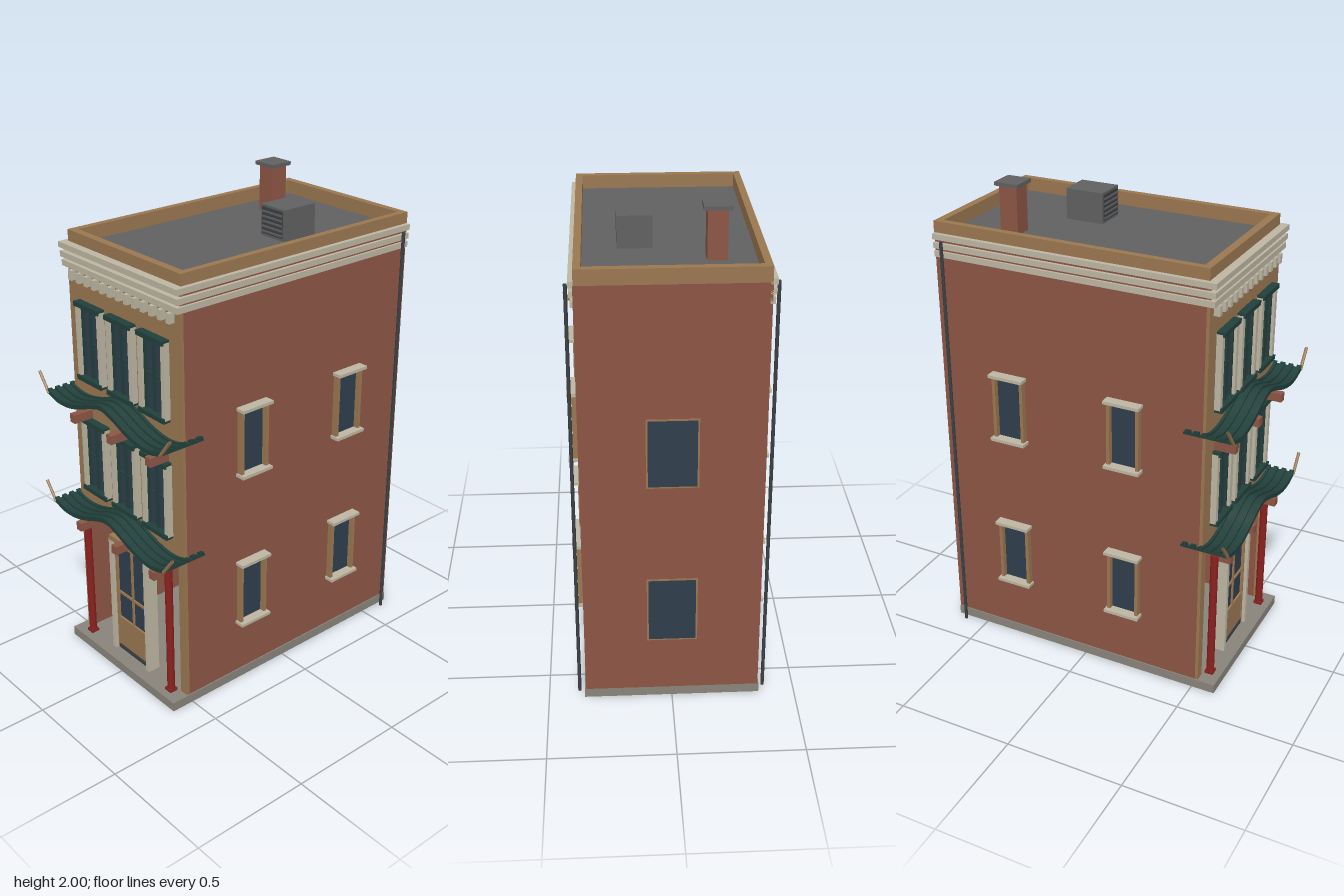
import * as THREE from 'three';

const mat = (name, color, side = THREE.FrontSide) => {
  const m = new THREE.MeshStandardMaterial({ color, side });
  m.name = name;
  return m;
};

export function createModel() {
  const model = new THREE.Group();
  model.name = 'townhouse';
  const brick = mat('brick', 0x8c5544), tan = mat('tan', 0x9a7751), cream = mat('cream', 0xbdb6a3);
  const grey = mat('roof grey', 0x606060), stone = mat('stone', 0x88847b), glass = mat('glass', 0x2f3e4c);
  const green = mat('dark green', 0x22403b), red = mat('column red', 0x8a211e), iron = mat('iron', 0x3c4044);

  const add = (name, geo, material, parent = model) => {
    const mesh = new THREE.Mesh(geo, material);
    mesh.name = name;
    parent.add(mesh);
    return mesh;
  };
  // Box given by its lower and upper limits on each axis
  const box = (name, m, x0, x1, y0, y1, z0, z1, parent = model) => {
    const mesh = add(name, new THREE.BoxGeometry(x1 - x0, y1 - y0, z1 - z0), m, parent);
    mesh.position.set((x0 + x1) / 2, (y0 + y1) / 2, (z0 + z1) / 2);
    return mesh;
  };
  const group = (name) => {
    const g = new THREE.Group();
    g.name = name;
    model.add(g);
    return g;
  };

  // Base and walls; the ground floor is an open room behind the shopfront
  box('baseSlab', stone, -0.355, 0.355, 0, 0.04, -0.645, 0.6);
  box('upperWalls', brick, -0.35, 0.35, 0.637, 1.79, -0.645, 0.512);
  box('groundBackWall', brick, -0.35, 0.35, 0.04, 0.637, -0.645, -0.605);
  for (const s of [-1, 1]) {
    const a = s < 0 ? -0.35 : 0.31;
    box('groundSideWall', brick, a, a + 0.04, 0.04, 0.637, -0.605, 0.512);
    box('cornerPilaster', tan, a, a + 0.04, 0.04, 0.637, 0.512, 0.525);
  }
  box('facade', tan, -0.35, 0.35, 0.637, 1.79, 0.512, 0.525);

  // Roof deck and parapet
  box('roofDeck', grey, -0.325, 0.325, 1.788, 1.794, -0.62, 0.49);
  for (const s of [-1, 1]) {
    const a = s < 0 ? -0.348 : 0.32;
    box('parapetSide', tan, a, a + 0.028, 1.79, 1.85, -0.648, 0.52);
  }
  box('parapetFront', tan, -0.32, 0.32, 1.79, 1.85, 0.488, 0.52);
  box('parapetBack', tan, -0.32, 0.32, 1.79, 1.85, -0.648, -0.617);

  // Cornice bands round the front and sides, with dentils below
  const cornice = group('cornice');
  for (const [y0, y1, out] of [[1.781, 1.804, 0.017], [1.744, 1.767, 0.014], [1.708, 1.732, 0.01]]) {
    box('bandFront', cream, -0.35 - out, 0.35 + out, y0, y1, 0.51, 0.537 + out, cornice);
    box('bandLeft', cream, 0.34, 0.35 + out, y0, y1, -0.645, 0.51, cornice);
    box('bandRight', cream, -0.35 - out, -0.34, y0, y1, -0.645, 0.51, cornice);
  }
  for (let i = -6; i <= 6; i++) {
    const x = i * 0.051;
    box('dentil', cream, x - 0.01, x + 0.01, 1.66, 1.7, 0.52, 0.55, cornice);
  }

  // Chimney and rooftop unit with louvres
  box('chimney', brick, -0.21, -0.135, 1.79, 1.985, -0.428, -0.35);
  box('chimneyCap', grey, -0.224, -0.12, 1.985, 2, -0.44, -0.338);
  const unit = group('rooftopUnit');
  box('unitBody', grey, 0.057, 0.19, 1.794, 1.92, -0.282, -0.119, unit);
  box('unitGrille', iron, 0.066, 0.181, 1.805, 1.912, -0.119, -0.115, unit);
  for (let i = 0; i < 5; i++) {
    const y = 1.812 + i * 0.02;
    box('louvre', grey, 0.066, 0.181, y, y + 0.007, -0.116, -0.111, unit);
  }

  // Side windows and downpipes, on both sides
  for (const s of [-1, 1]) {
    const sideBox = (name, m, out, y0, y1, z0, z1) =>
      box(name, m, Math.min(s * 0.345, s * out), Math.max(s * 0.345, s * out), y0, y1, z0, z1);
    for (const z of [0.186, -0.33]) for (const y of [0.276, 0.963]) {
      sideBox('sideGlass', glass, 0.353, y + 0.01, y + 0.285, z - 0.06, z + 0.06);
      for (const d of [-0.063, 0.063])
        sideBox('sideJamb', tan, 0.375, y + 0.01, y + 0.285, z + d - 0.007, z + d + 0.007);
      sideBox('sideSill', cream, 0.393, y, y + 0.013, z - 0.077, z + 0.077);
      sideBox('sideLintel', cream, 0.393, y + 0.283, y + 0.296, z - 0.077, z + 0.077);
    }
    add('downpipe', new THREE.CylinderGeometry(0.007, 0.007, 1.78, 8), iron).position.set(s * 0.376, 0.89, -0.6);
  }

  // Back windows, flush with the wall
  for (const y of [0.276, 0.975]) {
    box('backFrame', tan, -0.1, 0.1, y, y + 0.29, -0.647, -0.64);
    box('backGlass', glass, -0.093, 0.093, y + 0.007, y + 0.283, -0.649, -0.64);
  }

  // Front windows in two rows of three
  for (const y of [0.75, 1.25]) for (const x of [-0.2, 0, 0.2]) {
    const w = group('frontWindow');
    box('glass', glass, x - 0.062, x + 0.062, y + 0.015, y + 0.325, 0.52, 0.53, w);
    for (const s of [-1, 1]) {
      box('jamb', cream, x + s * 0.07 - 0.011, x + s * 0.07 + 0.011, y + 0.015, y + 0.325, 0.52, 0.55, w);
      box('stile', green, x + s * 0.054 - 0.006, x + s * 0.054 + 0.006, y + 0.015, y + 0.325, 0.525, 0.538, w);
    }
    box('mullion', green, x - 0.007, x + 0.007, y + 0.015, y + 0.325, 0.525, 0.538, w);
    box('middleRail', green, x - 0.06, x + 0.06, y + 0.166, y + 0.174, 0.525, 0.536, w);
    box('sill', green, x - 0.08, x + 0.08, y + 0.005, y + 0.024, 0.52, 0.558, w);
    box('head', green, x - 0.08, x + 0.08, y + 0.316, y + 0.335, 0.52, 0.558, w);
  }

  // Door with glazed upper part
  const door = group('door');
  box('doorGlass', glass, -0.1, 0.1, 0.2, 0.577, 0.515, 0.523, door);
  box('doorPanel', tan, -0.103, 0.103, 0.06, 0.2, 0.512, 0.532, door);
  box('doorThreshold', iron, -0.1, 0.1, 0.04, 0.06, 0.51, 0.535, door);
  box('doorMullion', tan, -0.005, 0.005, 0.2, 0.577, 0.515, 0.53, door);
  box('doorRail', tan, -0.1, 0.1, 0.32, 0.33, 0.515, 0.53, door);
  box('doorHead', tan, -0.122, 0.122, 0.577, 0.6, 0.5, 0.55, door);
  for (const s of [-1, 1]) {
    box('doorStile', tan, s * 0.102 - 0.005, s * 0.102 + 0.005, 0.04, 0.577, 0.512, 0.535, door);
    box('doorJamb', cream, s * 0.116 - 0.01, s * 0.116 + 0.01, 0.04, 0.582, 0.495, 0.55, door);
  }

  // Porch columns
  for (const s of [-1, 1]) {
    add('column', new THREE.CylinderGeometry(0.016, 0.016, 0.58, 16), red).position.set(s * 0.277, 0.33, 0.55);
    box('columnFoot', red, s * 0.277 - 0.018, s * 0.277 + 0.018, 0.04, 0.052, 0.532, 0.568);
  }

  // Beam ends under each canopy
  for (const y of [0.587, 1.087]) for (const x of [-0.248, 0, 0.248])
    box('beamEnd', brick, x - 0.016, x + 0.016, y, y + 0.037, 0.5, 0.613);

  // Swept canopies: a curved deck, raised tile rows and upturned tips
  const half = [[0, 0.072], [0.07, 0.055], [0.15, 0.024], [0.23, 0.004], [0.3, 0.002], [0.37, 0.02]];
  const line = new THREE.CatmullRomCurve3(
    [...half.slice(1).reverse().map(([x, y]) => new THREE.Vector3(-x, y, 0)),
      ...half.map(([x, y]) => new THREE.Vector3(x, y, 0))]).getPoints(40);
  const strip = (low, high, depth) => {
    const top = line.map((p) => new THREE.Vector2(p.x, p.y + high));
    const bottom = line.map((p) => new THREE.Vector2(p.x, p.y + low)).reverse();
    return new THREE.ExtrudeGeometry(new THREE.Shape([...bottom, ...top]), { depth, bevelEnabled: false });
  };
  for (const y of [0.675, 1.175]) {
    const canopy = group('canopy');
    canopy.position.y = y;
    add('canopyDeck', strip(-0.009, 0, 0.205), green, canopy).position.z = 0.44;
    for (let i = 0; i < 6; i++)
      add('tileRow', strip(-0.002, 0.01, 0.02), green, canopy).position.z = 0.445 + i * 0.036;
    for (const s of [-1, 1]) {
      const tip = new THREE.LineCurve3(new THREE.Vector3(s * 0.365, 0.012, 0.642), new THREE.Vector3(s * 0.425, 0.09, 0.642));
      add('canopyTip', new THREE.TubeGeometry(tip, 1, 0.007, 6), tan, canopy).material.side = THREE.DoubleSide;
    }
  }
  return model;
}
